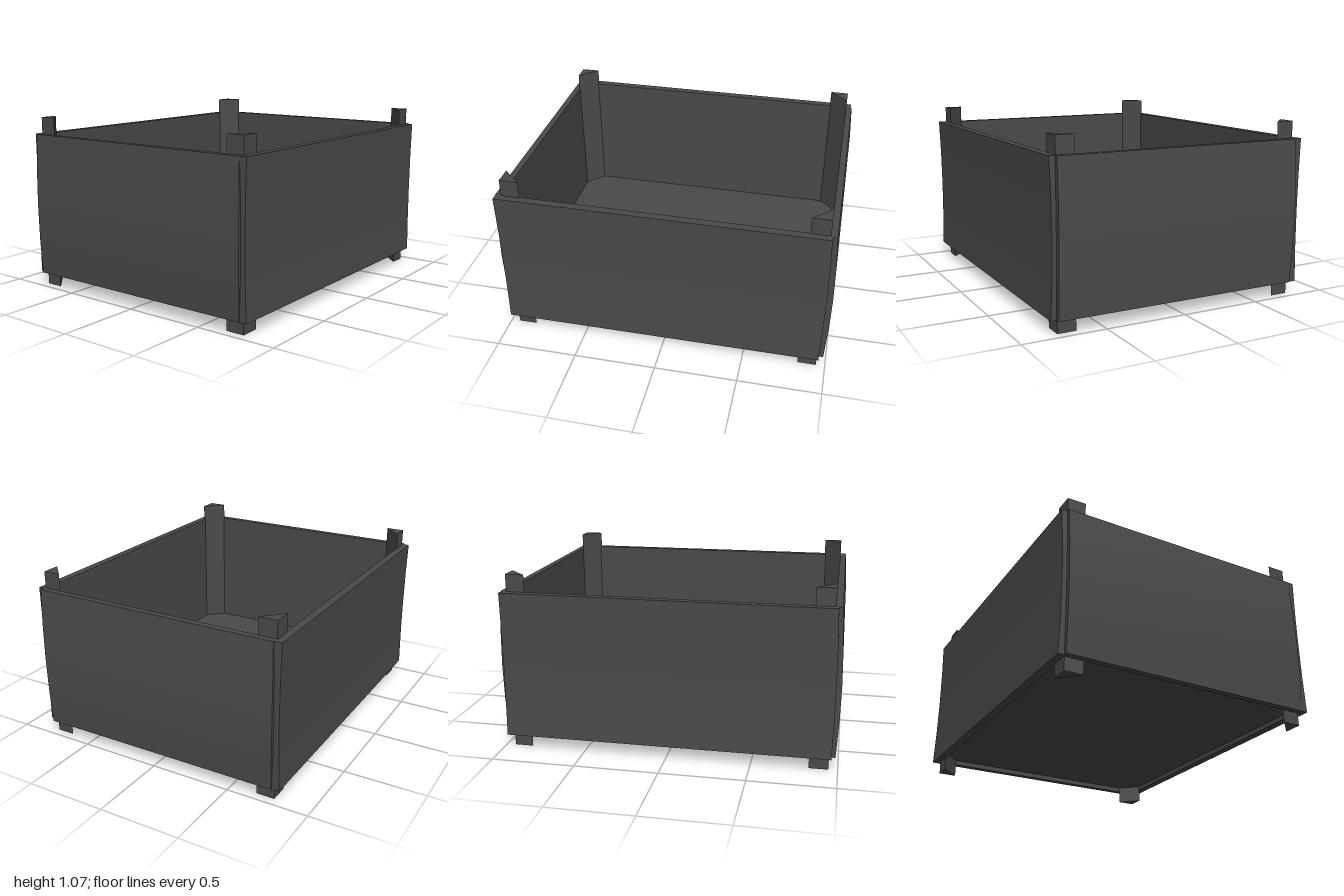
import * as THREE from 'three';

export function createModel() {
  const model = new THREE.Group();
  const darkGrey = new THREE.MeshStandardMaterial({ color: 0x4a4a4a });
  darkGrey.name = 'darkGrey';

  const add = (name, geometry) => {
    const flat = geometry.index ? geometry.toNonIndexed() : geometry;
    flat.computeVertexNormals();
    const mesh = new THREE.Mesh(flat, darkGrey);
    mesh.name = name;
    model.add(mesh);
    return mesh;
  };

  // A slightly warped board running along x, its outer face towards +z
  const bottom = 0.08, top = 0.962;
  function board(name, from, to, inner, outer, bow, turn) {
    const h = top - bottom;
    const g = new THREE.BoxGeometry(to - from, h, outer - inner, 1, 4, 1);
    g.translate((from + to) / 2, (bottom + top) / 2, (inner + outer) / 2);
    const p = g.attributes.position;
    for (let i = 0; i < p.count; i++) {
      const t = (2 * (p.getY(i) - bottom)) / h - 1;
      const swell = 1 - t * t;
      // Bulge the outer face and ease the end grain
      if (p.getZ(i) > (inner + outer) / 2) p.setZ(i, p.getZ(i) + bow * swell);
      if (p.getX(i) > 0) p.setX(i, p.getX(i) + 0.008 * swell);
    }
    g.rotateY(turn);
    add(name, g);
  }
  board('frontWall', -0.982, 0.958, 0.766, 0.814, -0.009, 0);
  board('backWall', -0.977, 0.962, 0.768, 0.816, -0.009, Math.PI);
  board('leftWall', -0.78, 0.768, 0.945, 0.984, 0.016, Math.PI / 2);
  board('rightWall', -0.78, 0.77, 0.945, 0.984, 0.016, -Math.PI / 2);

  // Floor panel held between the walls
  const floor = new THREE.BoxGeometry(1.9, 0.06, 1.54);
  floor.translate(0, 0.14, 0);
  add('floor', floor);

  // Triangular corner posts, right angle outwards
  for (const sx of [-1, 1]) {
    for (const sz of [-1, 1]) {
      const shape = new THREE.Shape([
        new THREE.Vector2(sx * 0.947, sz * 0.772),
        new THREE.Vector2(sx * 0.835, sz * 0.772),
        new THREE.Vector2(sx * 0.947, sz * 0.66),
      ]);
      const g = new THREE.ExtrudeGeometry(shape, { depth: 1.065, bevelEnabled: false });
      g.rotateX(-Math.PI / 2);
      add((sz > 0 ? 'back' : 'front') + (sx > 0 ? 'Left' : 'Right') + 'Post', g);
    }
  }
  return model;
}
